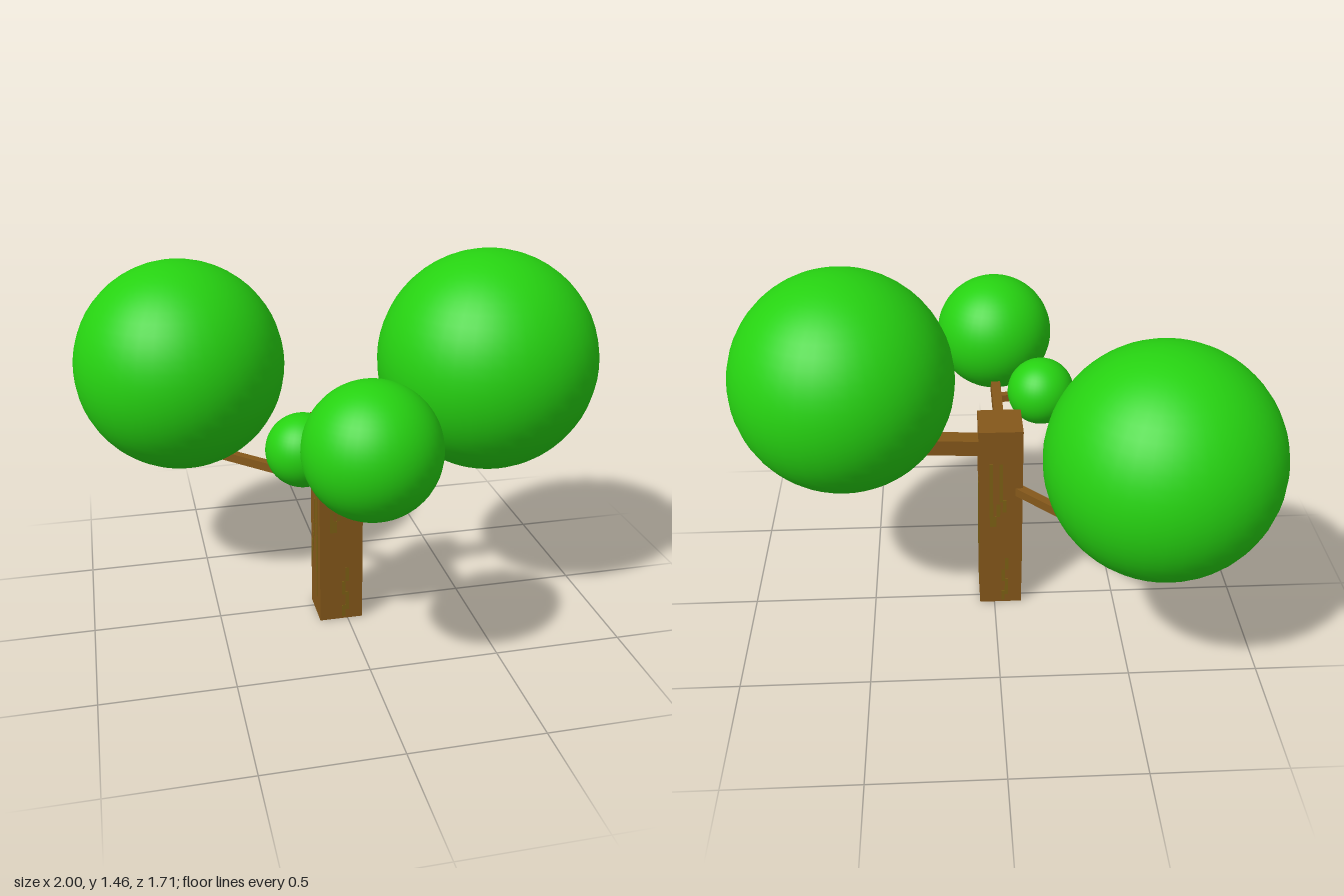
import * as THREE from 'three';

export function createModel() {
  const model = new THREE.Group();
  model.name = 'tree';
  const wood = new THREE.MeshStandardMaterial({ color: 0x85581a });
  const bark = new THREE.MeshStandardMaterial({ color: 0x7d6014 });
  const leaf = new THREE.MeshStandardMaterial({ color: 0x26d211 });

  function add(parent, name, geometry, material) {
    const mesh = new THREE.Mesh(geometry, material);
    mesh.name = name;
    parent.add(mesh);
    return mesh;
  }

  // Square trunk
  const W = 0.172, H = 0.835, CX = -0.026, CZ = 0.038;
  add(model, 'trunk', new THREE.BoxGeometry(W, H, W), wood).position.set(CX, H / 2, CZ);

  // Bark: shallow stepped strips [across, bottom, top] on the four sides
  const frontBark = [
    [-0.038, 0.39, 0.69], [-0.024, 0.39, 0.44], [-0.01, 0.44, 0.5], [0.014, 0.46, 0.52],
    [0, 0.51, 0.69], [0.01, 0.01, 0.06], [0.024, 0.04, 0.12], [0.01, 0.11, 0.17], [0.024, 0.17, 0.23],
  ];
  const sideBark = [
    [0.025, 0.08, 0.6], [0.038, 0.2, 0.58], [-0.065, 0.2, 0.26],
    [-0.052, 0.25, 0.3], [-0.038, 0.29, 0.34], [-0.025, 0.33, 0.4], [-0.01, 0.39, 0.5],
  ];
  [frontBark, sideBark, frontBark, sideBark].forEach((strips, i) => {
    const face = new THREE.Group();
    face.name = 'barkSide' + (i + 1);
    face.position.set(CX, 0, CZ);
    face.rotation.y = i * Math.PI / 2;
    for (const [x, y0, y1] of strips) {
      add(face, 'barkStrip', new THREE.BoxGeometry(0.014, y1 - y0, 0.004), bark)
        .position.set(x, (y0 + y1) / 2, W / 2);
    }
    model.add(face);
  });

  // Straight branches of rectangular section between two points
  function branch(name, from, to, width, height) {
    const a = new THREE.Vector3(...from), b = new THREE.Vector3(...to);
    const mesh = add(model, name, new THREE.BoxGeometry(width, height, a.distanceTo(b)), wood);
    mesh.position.copy(a).add(b).multiplyScalar(0.5);
    mesh.lookAt(b);
  }
  branch('leftBranch', [0, 0.73, 0.035], [0.42, 0.75, 0.035], 0.07, 0.065);
  branch('backBranch', [-0.05, 0.557, 0.01], [-0.425, 0.557, -0.365], 0.035, 0.036);
  branch('frontBranch', [-0.027, 0.775, 0.08], [-0.027, 0.77, 0.49], 0.038, 0.065);
  branch('twig', [-0.03, 0.77, 0.335], [-0.18, 0.79, 0.325], 0.03, 0.03);

  // Round clumps of leaves
  const clumps = [
    ['leftFoliage', 0.425, 0.57, 1.03, 0.037],
    ['backFoliage', 0.425, -0.575, 0.94, -0.43],
    ['frontFoliage', 0.24, -0.03, 0.94, 0.61],
    ['twigFoliage', 0.135, -0.205, 0.825, 0.287],
  ];
  for (const [name, r, x, y, z] of clumps) {
    add(model, name, new THREE.SphereGeometry(r, 40, 28), leaf).position.set(x, y, z);
  }
  return model;
}
